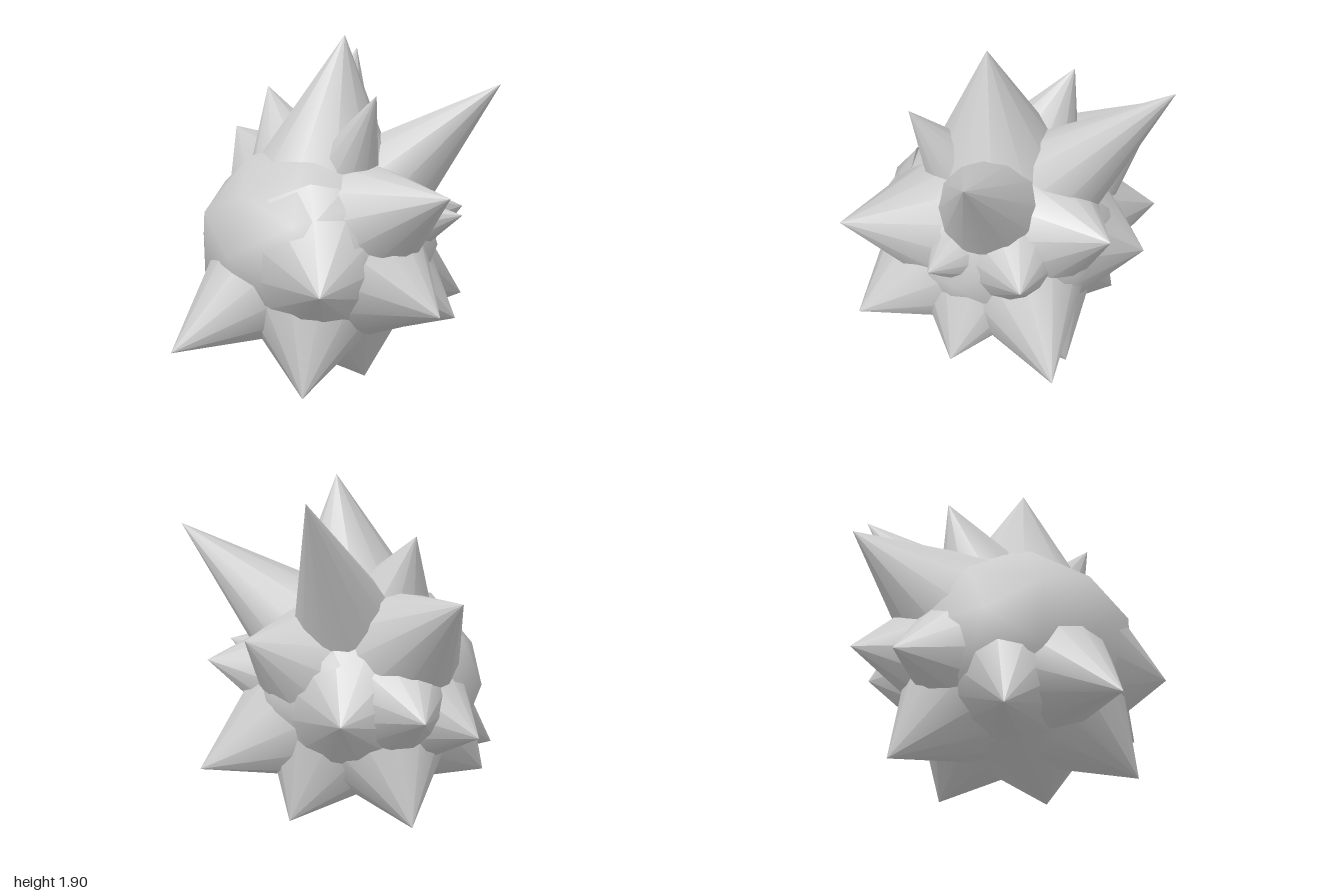
import * as THREE from 'three';

// Spiky ball: a coarse rounded core bristling with cones that all point away from the centre
const CENTRE = new THREE.Vector3(0, 0.76, 0);
const CORE_RADIUS = 0.68;
const ROOT = 0.42; // distance from the centre where a spike starts, hidden in the core
const NECK = 0.58; // distance from the centre at which a spike's width is given

// Each spike: tip x, y, z and its radius where it leaves the core
const SPIKES = [
  // upper ring
  [0.125, 1.91, -0.09, 0.31],
  [-0.6, 1.8, -0.74, 0.26],
  [0.61, 1.64, -0.81, 0.26],
  [0.53, 1.61, 0.01, 0.16],
  [-0.47, 1.6, 0.02, 0.21],
  // middle ring
  [-1.0, 1.31, -0.09, 0.3],
  [0.99, 1.12, -0.1, 0.28],
  [-0.19, 1.09, -0.86, 0.27],
  [0.31, 0.91, -0.82, 0.22],
  [0.67, 0.945, -0.485, 0.15],
  [-0.9, 0.71, -0.24, 0.27],
  [-0.62, 0.68, -0.56, 0.29],
  [-0.85, 0.57, 0.15, 0.25],
  [0.68, 0.63, 0.485, 0.29],
  // lower ring
  [0.93, 0.49, -0.1, 0.3],
  [0.58, 0.34, -0.53, 0.26],
  [0.18, 0.34, -0.945, 0.3],
  [-0.02, 0.255, 0.95, 0.27],
  [-0.43, 0.245, 0.535, 0.26],
  [-0.69, 0.1, -0.16, 0.29],
  [-0.13, 0.06, -0.57, 0.29],
  [0.48, 0.04, 0.45, 0.29],
  [0.29, 0.005, -0.115, 0.28],
];

export function createModel() {
  const group = new THREE.Group();
  const material = new THREE.MeshStandardMaterial({ color: 0xcccccc });

  // core, slightly flattened
  const core = new THREE.Mesh(new THREE.IcosahedronGeometry(CORE_RADIUS, 1), material);
  core.name = 'core';
  core.position.copy(CENTRE);
  core.rotation.y = 0.17;
  core.scale.y = 0.87;
  group.add(core);

  // spikes, turned so that +y runs from the centre to the tip
  const up = new THREE.Vector3(0, 1, 0);
  SPIKES.forEach(([x, y, z, width], i) => {
    const axis = new THREE.Vector3(x, y, z).sub(CENTRE);
    const reach = axis.length();
    axis.normalize();
    const height = reach - ROOT;
    const radius = (width * height) / (reach - NECK);
    const spike = new THREE.Mesh(new THREE.ConeGeometry(radius, height, 12), material);
    spike.name = `spike${i + 1}`;
    spike.quaternion.setFromUnitVectors(up, axis);
    spike.position.copy(CENTRE).addScaledVector(axis, ROOT + height / 2);
    group.add(spike);
  });

  return group;
}
